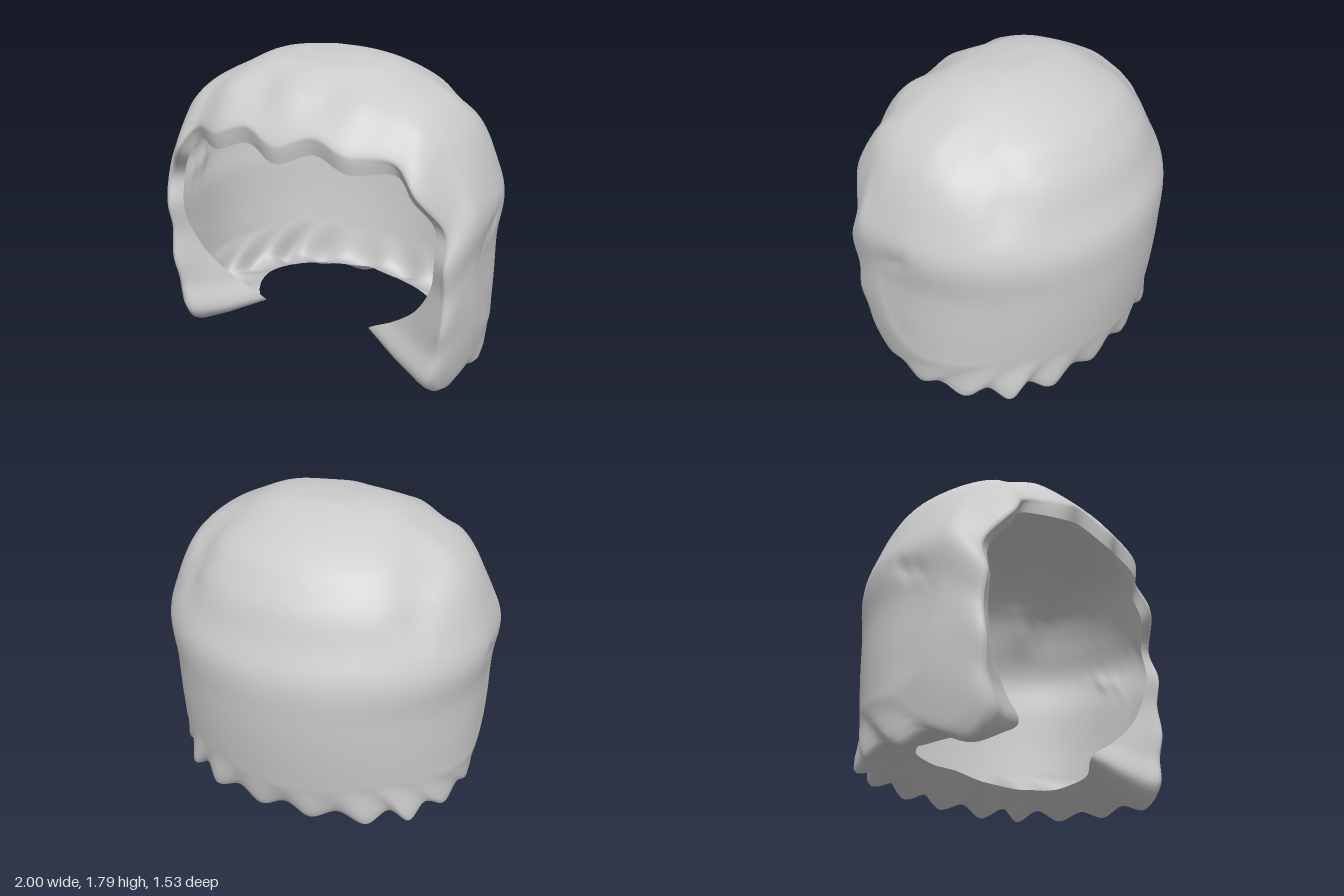
import * as THREE from 'three';
import { mergeVertices } from 'three/addons/utils/BufferGeometryUtils.js';

const V = (a) => new THREE.Vector3(...a);
const { smoothstep } = THREE.MathUtils;

// Hull profile by height: [y, half width, front depth, back depth], depths from z = 0.1
const PROFILE = [
  [-0.2, 0.9, 0.65, 0.68], [0, 0.935, 0.65, 0.74], [0.2, 0.965, 0.65, 0.79], [0.5, 0.973, 0.65, 0.835],
  [0.8, 0.972, 0.65, 0.858], [1.05, 0.998, 0.645, 0.85], [1.25, 0.94, 0.65, 0.77],
  [1.4, 0.875, 0.66, 0.71], [1.5, 0.81, 0.645, 0.645], [1.6, 0.7, 0.575, 0.56],
  [1.7, 0.51, 0.435, 0.41], [1.77, 0.36, 0.27, 0.24], [1.8, 0.2, 0.1, 0.13],
];

// Half of the rim, from the middle of the fringe down the side and along the hem.
// FOLD is where the surface turns inward, EDGE is the free edge behind it.
const FOLD = [
  [0, 1.45, 0.76], [0.2, 1.51, 0.715], [0.39, 1.45, 0.72], [0.6, 1.41, 0.61],
  [0.74, 1.25, 0.635], [0.87, 1.04, 0.53], [0.89, 0.85, 0.575], [0.89, 0.67, 0.55],
  [0.89, 0.48, 0.57], [0.87, 0.32, 0.55], [0.83, 0.13, 0.56], [0.85, 0.01, 0.43],
  [0.91, 0.075, 0.24], [0.93, 0.025, 0.08], [0.9, 0.08, -0.06], [0.87, 0.035, -0.22],
  [0.78, 0.105, -0.33], [0.72, 0.035, -0.45], [0.6, 0.105, -0.48], [0.49, 0.035, -0.575],
  [0.32, 0.095, -0.59], [0.16, 0.035, -0.635], [0, 0.095, -0.62],
];
const EDGE = [
  [0, 1.335, 0.755], [0.2, 1.4, 0.7], [0.4, 1.335, 0.71], [0.6, 1.325, 0.58],
  [0.7, 1.2, 0.58], [0.8, 1.04, 0.51], [0.81, 0.85, 0.53], [0.785, 0.68, 0.5],
  [0.69, 0.5, 0.46], [0.54, 0.36, 0.41], [0.36, 0.24, 0.37], [0.45, 0.17, 0.28],
  [0.53, 0.165, 0.18], [0.58, 0.165, 0.07], [0.6, 0.16, -0.04], [0.58, 0.16, -0.12],
  [0.53, 0.165, -0.19], [0.47, 0.165, -0.25], [0.4, 0.17, -0.29], [0.32, 0.175, -0.32],
  [0.21, 0.18, -0.35], [0.1, 0.19, -0.36], [0, 0.2, -0.37],
];

// Mirrors a half rim into a closed smooth loop
function loop(half) {
  const other = half.slice(1, -1).reverse().map(([x, y, z]) => [-x, y, z]);
  return new THREE.CatmullRomCurve3([...half, ...other].map(V), true, 'catmullrom', 0.5);
}

// Smooth interpolation of the profile table
function section(y) {
  const last = PROFILE.length - 1;
  let i = 0;
  while (i < last - 1 && y > PROFILE[i + 1][0]) i++;
  const a = PROFILE[i], b = PROFILE[i + 1];
  const before = PROFILE[Math.max(i - 1, 0)], after = PROFILE[Math.min(i + 2, last)];
  const h = b[0] - a[0];
  const k = THREE.MathUtils.clamp((y - a[0]) / h, 0, 1);
  return [1, 2, 3].map((n) => {
    const ma = h * (b[n] - before[n]) / (b[0] - before[0]);
    const mb = h * (after[n] - a[n]) / (after[0] - a[0]);
    const c = 3 * (b[n] - a[n]) - 2 * ma - mb, d = 2 * (a[n] - b[n]) + ma + mb;
    return a[n] + k * (ma + k * (c + k * d));
  });
}

function inside(p) {
  if (p.y > 1.8) return false;
  const [w, front, back] = section(p.y);
  const z = p.z - 0.1;
  // Squarer in front low down, rounder at the fringe and the back
  const e = z < 0 ? 2 : 4 - 1.5 * smoothstep(p.y, 0.9, 1.4);
  return (Math.abs(p.x) / w) ** e + (Math.abs(z) / (z > 0 ? front : back)) ** e < 1;
}

const CENTRE = new THREE.Vector3(0, 0.8, 0);
const POLE = new THREE.Vector3(0, 0.68, -0.73).normalize();

// Point on the hull in a direction, with shallow dents in the hair
function hull(dir) {
  let lo = 0, hi = 2;
  const p = new THREE.Vector3();
  for (let n = 0; n < 26; n++) {
    const mid = (lo + hi) / 2;
    p.copy(CENTRE).addScaledVector(dir, mid);
    if (inside(p)) lo = mid; else hi = mid;
  }
  const side = smoothstep(Math.abs(p.x), 0.3, 0.6);
  // Curved groove at each side of the crown
  const r = Math.hypot(p.z - 0.02, p.y - 1.2);
  const groove = Math.exp(-(((r - 0.42) / 0.08) ** 2)) * side
    * smoothstep(p.y, 1.15, 1.4) * smoothstep(-p.z, -0.05, 0.15);
  // Small dent over each ear
  const slant = p.y - 0.96 + 0.25 * (p.z - 0.13);
  const dent = side * Math.exp(-(((p.z - 0.13) / 0.1) ** 2) - (slant / 0.05) ** 2);
  // Channels between the locks of the fringe
  const channel = (1 - Math.cos(2 * Math.PI * p.x / 0.4)) / 2
    * smoothstep(p.z, 0.3, 0.6) * smoothstep(p.y, 1.2, 1.4) * smoothstep(0.7 - Math.abs(p.x), 0, 0.1);
  return p.addScaledVector(dir, -0.03 * groove - 0.02 * dent - 0.03 * channel);
}

// Strand line from the back of the crown over the hull, round the fold to the edge
function strand(aim, fold, edge) {
  const target = aim.clone().sub(CENTRE).normalize();
  const angle = POLE.angleTo(target);
  const points = [];
  const count = 17;
  for (let n = 0; n < count; n++) {
    const t = 0.87 * n / (count - 1);
    const dir = POLE.clone().multiplyScalar(Math.sin((1 - t) * angle))
      .addScaledVector(target, Math.sin(t * angle)).normalize();
    points.push(hull(dir));
  }
  // The roll between fold and edge swells outward
  const roll = fold.clone().lerp(edge, 0.45);
  const swell = roll.clone().sub(CENTRE).normalize();
  const width = fold.distanceTo(edge);
  roll.addScaledVector(swell, Math.min(0.17 * width, 0.06) * smoothstep(width, 0.05, 0.2));
  points.push(fold, roll, edge);
  return new THREE.CatmullRomCurve3(points, false, 'centripetal');
}

function hairGeometry(around = 308, along = 80) {
  const foldLoop = loop(FOLD), edgeLoop = loop(EDGE);
  const lobe = 1 / foldLoop.points.length;
  const positions = [], index = [];
  for (let i = 0; i < around; i++) {
    const s = i / around;
    const fold = foldLoop.getPoint(s);
    // Aim evens out the scallops so that strands do not cross
    const aim = foldLoop.getPoint((s + lobe) % 1).add(foldLoop.getPoint((s + 1 - lobe) % 1))
      .multiplyScalar(0.5).lerp(fold, 0.5);
    const curve = strand(aim, fold, edgeLoop.getPoint(s));
    for (let j = 0; j <= along; j++) positions.push(...curve.getPoint(j / along).toArray());
    const next = (i + 1) % around;
    for (let j = 0; j < along; j++) {
      const a = i * (along + 1) + j, b = next * (along + 1) + j;
      if (j > 0) index.push(a, b + 1, b);
      index.push(a, a + 1, b + 1);
    }
  }
  let geometry = new THREE.BufferGeometry();
  geometry.setAttribute('position', new THREE.Float32BufferAttribute(positions, 3));
  geometry.setIndex(index);
  geometry = mergeVertices(geometry, 1e-5);

  // Stand it on the ground
  geometry.computeBoundingBox();
  geometry.translate(0, -geometry.boundingBox.min.y, 0);
  geometry.computeVertexNormals();
  return geometry;
}

export function createModel() {
  const group = new THREE.Group();
  group.name = 'wig';
  const material = new THREE.MeshStandardMaterial({ color: 0xcccccc, side: THREE.DoubleSide });
  const hair = new THREE.Mesh(hairGeometry(), material);
  hair.name = 'hair';
  group.add(hair);
  return group;
}
